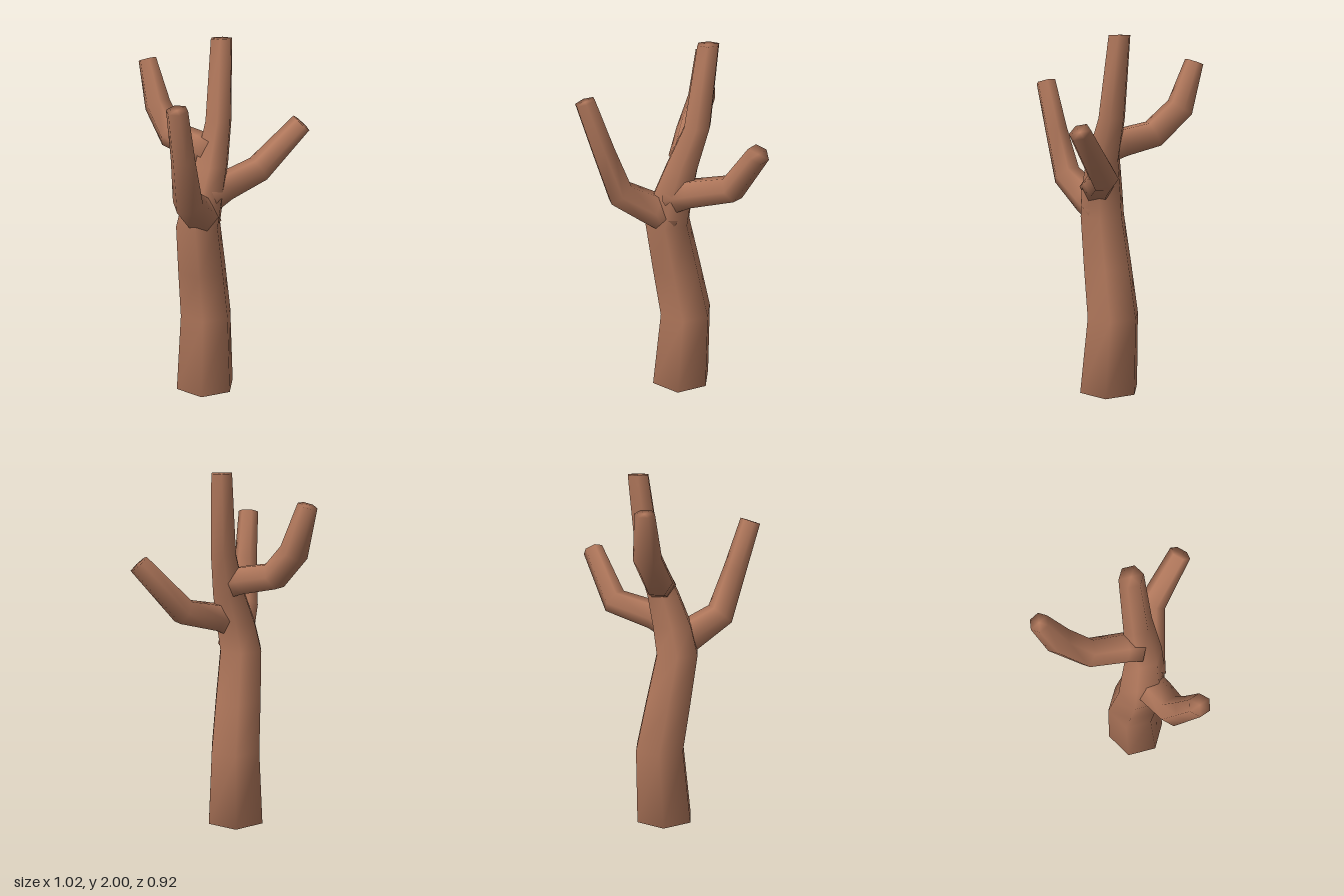
import * as THREE from 'three';

const SIDES = 6;

// Closed limb skinned over rings [x, y, z, radius]; level keeps every ring horizontal
function limb(name, rings, material, level = false) {
  const pos = [], idx = [];
  const pts = rings.map(([x, y, z]) => new THREE.Vector3(x, y, z));
  const last = rings.length - 1;
  const dir = (a, b) => pts[b].clone().sub(pts[a]).normalize();
  pts.forEach((p, i) => {
    const t = level ? new THREE.Vector3(0, 1, 0)
      : dir(Math.max(i - 1, 0), Math.max(i, 1)).add(dir(Math.min(i, last - 1), Math.min(i + 1, last))).normalize();
    // Ring axes: one sideways, one across the limb
    const side = level ? new THREE.Vector3(0, 0, 1)
      : new THREE.Vector3(pts[last].x - pts[0].x, 0, pts[last].z - pts[0].z).cross(new THREE.Vector3(0, 1, 0)).normalize();
    side.addScaledVector(t, -side.dot(t)).normalize();
    const up = t.clone().cross(side);
    for (let k = 0; k < SIDES; k++) {
      const a = (k / SIDES) * Math.PI * 2;
      const v = p.clone().addScaledVector(side, Math.cos(a) * rings[i][3]).addScaledVector(up, Math.sin(a) * rings[i][3]);
      pos.push(v.x, v.y, v.z);
    }
  });
  for (let i = 0; i < last; i++) {
    for (let k = 0; k < SIDES; k++) {
      const a = i * SIDES + k, b = i * SIDES + (k + 1) % SIDES;
      idx.push(a, b, b + SIDES, a, b + SIDES, a + SIDES);
    }
  }
  // End caps share the ring corners so the shading stays soft
  const c = pos.length / 3;
  pos.push(...pts[0].toArray(), ...pts[last].toArray());
  for (let k = 0; k < SIDES; k++) {
    const n = (k + 1) % SIDES;
    idx.push(c, n, k, c + 1, last * SIDES + k, last * SIDES + n);
  }
  const geo = new THREE.BufferGeometry();
  geo.setAttribute('position', new THREE.Float32BufferAttribute(pos, 3));
  geo.setIndex(idx);
  geo.computeVertexNormals();
  const mesh = new THREE.Mesh(geo, material);
  mesh.name = name;
  return mesh;
}

export function createModel() {
  const tree = new THREE.Group();
  tree.name = 'bareTree';
  const bark = new THREE.MeshStandardMaterial({ color: 0xb0775b });
  bark.name = 'bark';

  // Trunk, leaning and rising into the tallest limb
  tree.add(limb('trunk', [
    [0.03, 0, 0.065, 0.178],
    [0.055, 0.44, 0.05, 0.155],
    [0.005, 0.72, 0.06, 0.145],
    [-0.045, 1.0, 0.07, 0.132],
    [-0.015, 1.16, 0.085, 0.122],
    [0.035, 1.33, 0.1, 0.1],
    [0.118, 1.56, 0.085, 0.078],
    [0.17, 2.0, 0.063, 0.063],
  ], bark, true));

  // Three side branches
  tree.add(limb('rightBranch', [
    [-0.02, 1.03, 0.09, 0.1],
    [-0.12, 1.095, 0.13, 0.095],
    [-0.288, 1.2, 0.185, 0.083],
    [-0.37, 1.455, 0.217, 0.066],
    [-0.453, 1.725, 0.245, 0.058],
  ], bark));
  tree.add(limb('leftBranch', [
    [-0.02, 1.16, 0.11, 0.1],
    [0.09, 1.2, 0.15, 0.083],
    [0.318, 1.265, 0.22, 0.078],
    [0.455, 1.53, 0.41, 0.06],
  ], bark));
  tree.add(limb('backBranch', [
    [0.05, 1.39, 0.08, 0.088],
    [0.053, 1.415, 0, 0.085],
    [0.057, 1.455, -0.195, 0.082],
    [0.105, 1.6, -0.335, 0.078],
    [0.115, 1.85, -0.415, 0.053],
  ], bark));
  return tree;
}
